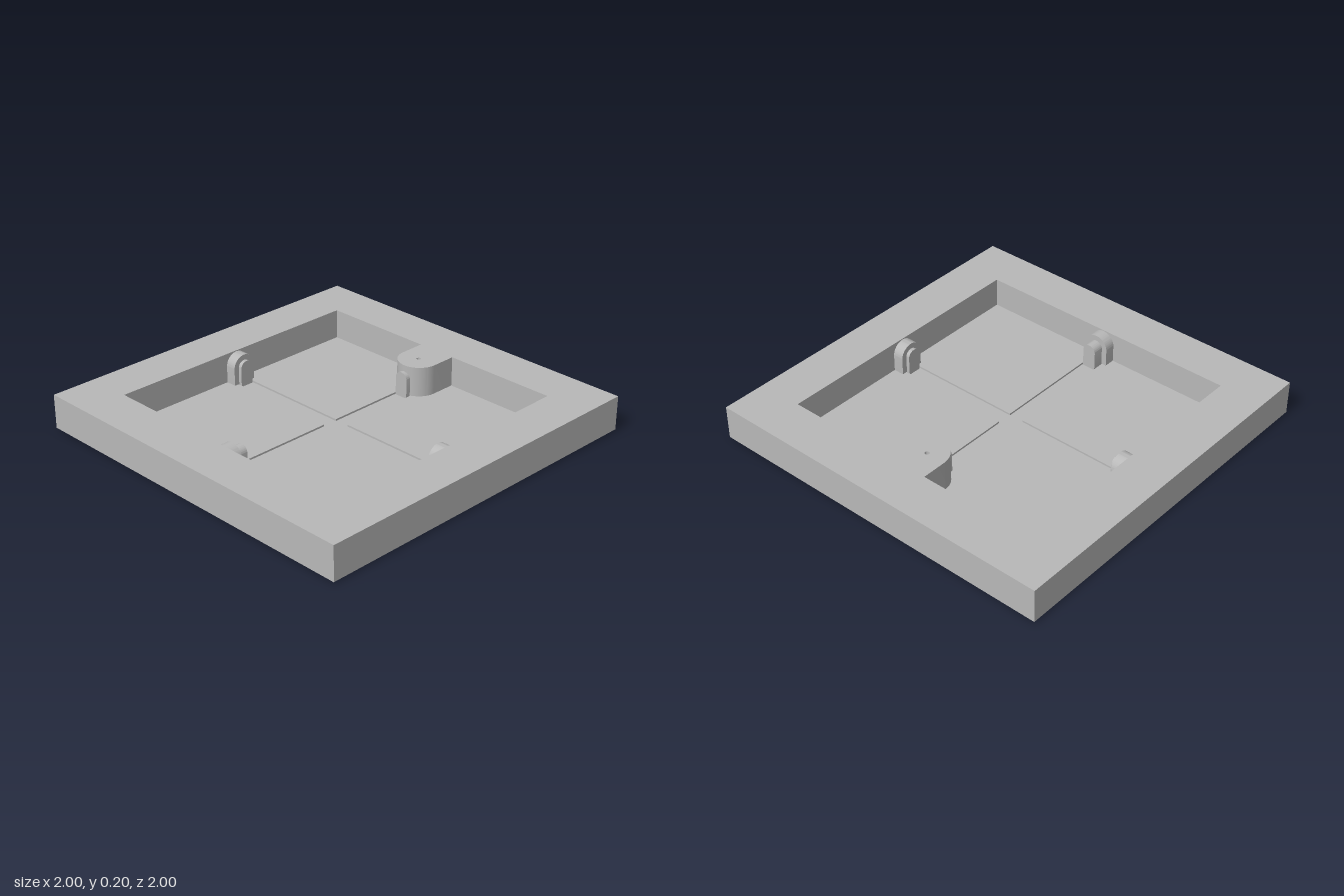
import * as THREE from 'three';
import { toCreasedNormals } from 'three/addons/utils/BufferGeometryUtils.js';

const TOP = 0.195, BOTTOM = 0.008, FLOOR = 0.03, CHANNEL = 0.02;
const INNER = 0.75, GROOVE = 0.042;

function extrude(shape, depth) {
  const g = new THREE.ExtrudeGeometry(shape, { depth, bevelEnabled: false, curveSegments: 24 });
  return toCreasedNormals(g, 0.6);
}

// Extrusion of a plan outline (shape y = -z) between two heights
function slab(shape, y0, y1) {
  return extrude(shape, y1 - y0).rotateX(-Math.PI / 2).translate(0, y0, 0);
}

function square(Type, h) {
  const s = new Type();
  s.moveTo(-h, -h);
  s.lineTo(h, -h);
  s.lineTo(h, h);
  s.lineTo(-h, h);
  s.closePath();
  return s;
}

// Upright arch: straight sides and a round top
function arch(r, centreY, depth) {
  const s = new THREE.Shape();
  s.moveTo(-r, CHANNEL - 0.005);
  s.lineTo(r, CHANNEL - 0.005);
  s.lineTo(r, centreY);
  s.absarc(0, centreY, r, 0, Math.PI, false);
  s.closePath();
  return extrude(s, depth);
}

export function createModel() {
  const model = new THREE.Group();
  model.name = 'tray';
  const grey = new THREE.MeshStandardMaterial({ color: 0xb8b8b8 });
  grey.name = 'light grey';
  const add = (name, geometry, parent = model) => {
    const m = new THREE.Mesh(geometry, grey);
    m.name = name;
    parent.add(m);
    return m;
  };

  // Square frame around the recess
  const frame = square(THREE.Shape, 1);
  frame.holes.push(square(THREE.Path, INNER));
  add('frame', slab(frame, BOTTOM, TOP));

  // Channel floor and the four raised floor panels
  add('channelFloor', slab(square(THREE.Shape, INNER), BOTTOM, CHANNEL));
  const side = INNER - GROOVE, mid = (INNER + GROOVE) / 2;
  for (const sx of [-1, 1]) for (const sz of [-1, 1]) {
    const g = new THREE.BoxGeometry(side, FLOOR - CHANNEL, side);
    add('floorPanel', g.translate(sx * mid, (FLOOR + CHANNEL) / 2, sz * mid));
  }

  // Thin underside plate with a tab towards each edge
  const t = 0.04, e = 0.99;
  const plate = new THREE.Shape();
  for (let i = 0; i < 4; i++) {
    const c = Math.round(Math.cos(i * Math.PI / 2)), s = Math.round(Math.sin(i * Math.PI / 2));
    for (const [x, y] of [[INNER, -INNER], [INNER, -t], [e, -t], [e, t], [INNER, t]]) {
      const px = x * c - y * s, py = x * s + y * c;
      if (i === 0 && x === INNER && y === -INNER) plate.moveTo(px, py);
      else plate.lineTo(px, py);
    }
  }
  plate.closePath();
  add('undersidePlate', slab(plate, 0, BOTTOM));

  // Arched ports on the front and both sides; each faces the centre
  for (const [angle, reach] of [[Math.PI, 0.12], [Math.PI / 2, 0.08], [-Math.PI / 2, 0.08]]) {
    const port = new THREE.Group();
    port.name = 'port';
    port.rotation.y = angle;
    add('portFlange', arch(0.068, 0.122, 0.061).translate(0, 0, -INNER - 0.001), port);
    add('portNozzle', arch(0.038, 0.122, reach).translate(0, 0, -INNER), port);
    model.add(port);
  }

  // Round-ended block on the back wall with a pin hole
  const r = 0.112, cz = 0.612;
  const block = new THREE.Shape();
  block.moveTo(r, INNER);
  block.lineTo(-r, INNER);
  block.lineTo(-r, cz);
  block.absarc(0, cz, r, Math.PI, Math.PI * 2, false);
  block.closePath();
  const hole = new THREE.Path();
  hole.absarc(0, cz, 0.012, 0, Math.PI * 2, true);
  block.holes.push(hole);
  add('backBlock', slab(block, CHANNEL, TOP));
  add('backNozzle', arch(0.038, 0.122, 0.06).translate(0, 0, -0.54));

  return model;
}
